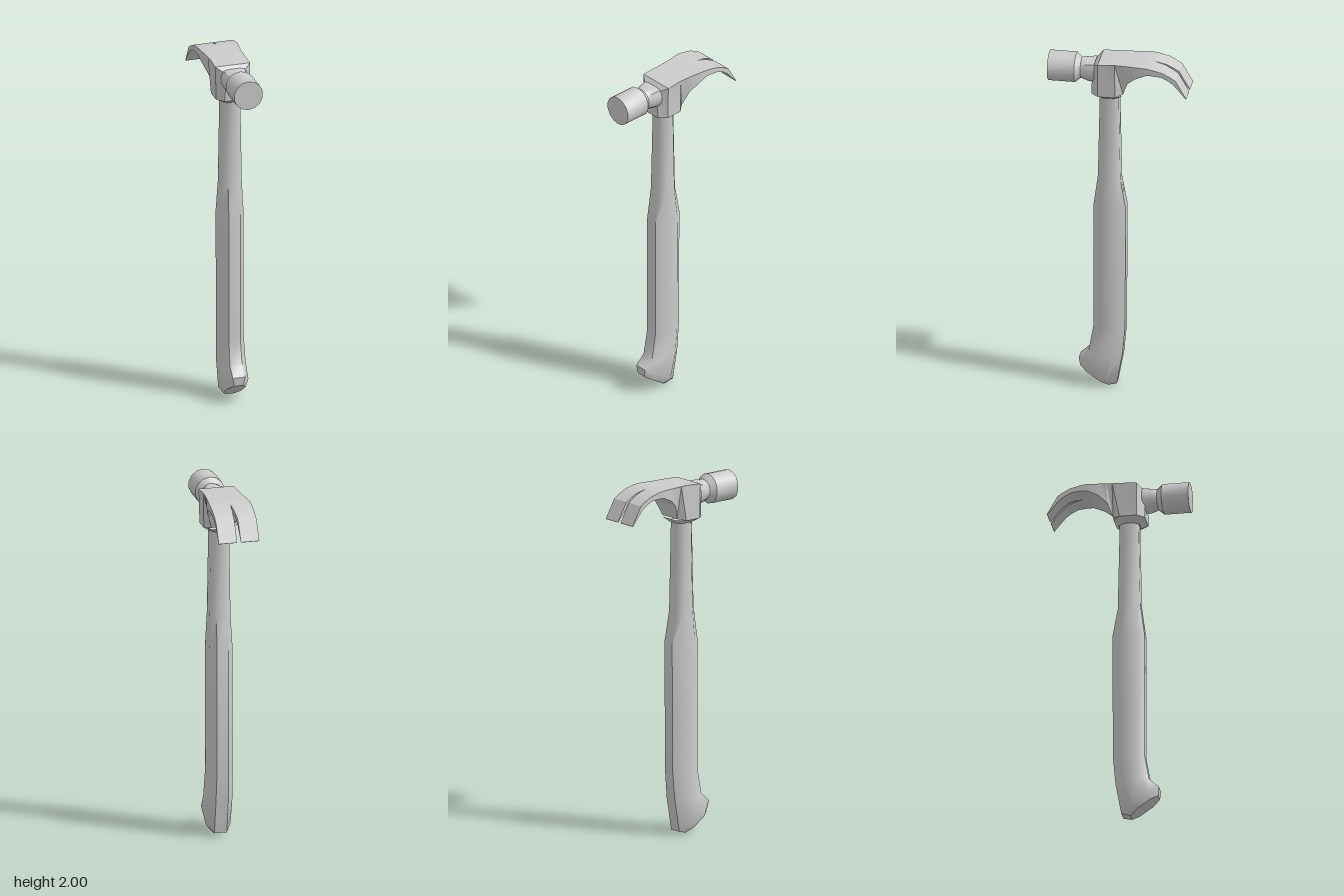
import * as THREE from 'three';
import { toCreasedNormals } from 'three/addons/utils/BufferGeometryUtils.js';

const steel = new THREE.MeshStandardMaterial({ color: 0xcccccc });

// Skin a list of closed loops; loops run counter-clockwise about the direction of travel.
function loft(loops, capStart, capEnd, crease) {
  const n = loops[0].length, index = [];
  const id = (s, i) => s * n + (i % n);
  for (let s = 0; s < loops.length - 1; s++)
    for (let i = 0; i < n; i++)
      index.push(id(s, i), id(s, i + 1), id(s + 1, i + 1), id(s, i), id(s + 1, i + 1), id(s + 1, i));
  const e = loops.length - 1;
  for (let i = 1; i < n - 1; i++) {
    if (capStart) index.push(id(0, 0), id(0, i + 1), id(0, i));
    if (capEnd) index.push(id(e, 0), id(e, i), id(e, i + 1));
  }
  const geo = new THREE.BufferGeometry();
  geo.setAttribute('position', new THREE.Float32BufferAttribute(loops.flat(2), 3));
  geo.setIndex(index);
  return toCreasedNormals(geo.toNonIndexed(), crease);
}

// Chamfered rectangle between a front point and a back point, with half width w.
function octagon([zf, yf, zb, yb, w], c = 0.5, e = 0.25) {
  const corners = [[c, 0], [1, e], [1, 1 - e], [c, 1], [-c, 1], [-1, 1 - e], [-1, e], [-c, 0]];
  return corners.map(([u, t]) => [u * w, yf + (yb - yf) * t, zf + (zb - zf) * t]);
}

// Four-cornered slice through the head, from x0 to x1.
const slice = (zt, yt, zb, yb, t0, t1, b0 = t0, b1 = t1) =>
  [[t1, yt, zt], [b1, yb, zb], [b0, yb, zb], [t0, yt, zt]];

export function createModel() {
  const group = new THREE.Group();
  const add = (name, geo) => {
    const mesh = new THREE.Mesh(geo, steel);
    mesh.name = name;
    group.add(mesh);
  };

  // Handle: front z, y, back z, y, half width, from the butt upward
  const handle = [
    [0.215, 0.115, 0.06, 0.005, 0.052],
    [0.22, 0.165, 0.01, 0.02, 0.07],
    [0.165, 0.215, -0.022, 0.2, 0.07],
    [0.14, 0.36, -0.036, 0.36, 0.066],
    [0.14, 1.09, -0.04, 1.09, 0.066],
    [0.115, 1.28, -0.01, 1.26, 0.059],
    [0.105, 1.77, 0.0, 1.77, 0.052],
  ];
  add('handle', loft(handle.map((s) => octagon(s)), true, true, 0.85));

  // Bevelled collar under the head
  const collar = [[0.11, 1.765, -0.005, 1.765, 0.055], [0.145, 1.79, -0.03, 1.79, 0.095]];
  add('collar', loft(collar.map((s) => octagon(s, 0.62)), true, false, 0.4));

  // Head body: z, top y, bottom y, top half width, bottom half width
  const body = [
    [0.145, 1.95, 1.79, 0.045, 0.06],
    [0.105, 1.985, 1.79, 0.1, 0.095],
    [0.01, 1.99, 1.79, 0.098, 0.095],
    [-0.03, 1.99, 1.8, 0.1, 0.062],
    [-0.06, 1.99, 1.88, 0.102, 0.09],
    [-0.105, 1.99, 1.92, 0.107, 0.107],
    [-0.168, 1.99, 1.949, 0.114, 0.114],
    [-0.2, 1.985, 1.95, 0.115, 0.115],
  ];
  add('headBody', loft(body.map(([z, t, b, w, v]) => slice(z, t, z, b, -w, w, -v, v)), true, false, 0.4));

  // Two claw prongs: top z, y, bottom z, y, half slit width
  const claw = [
    [-0.2, 1.985, -0.2, 1.95, 0],
    [-0.26, 1.97, -0.25, 1.945, 0.005],
    [-0.3, 1.949, -0.29, 1.926, 0.009],
    [-0.33, 1.93, -0.322, 1.902, 0.01],
    [-0.39, 1.825, -0.388, 1.823, 0.011],
  ];
  for (const side of [1, -1]) {
    const loops = claw.map(([zt, yt, zb, yb, s]) =>
      side > 0 ? slice(zt, yt, zb, yb, s, 0.115) : slice(zt, yt, zb, yb, -0.115, -s));
    add(side > 0 ? 'leftClaw' : 'rightClaw', loft(loops, false, true, 0.4));
  }

  // Round neck and striking face, turned about z; the neck is planed flat on top
  const profile = [[0.078, 0.13], [0.07, 0.175], [0.058, 0.21], [0.084, 0.24], [0.084, 0.39], [0, 0.39]];
  const poll = new THREE.LatheGeometry(profile.map(([r, z]) => new THREE.Vector2(r, z)), 14);
  poll.rotateX(Math.PI / 2);
  const p = poll.attributes.position;
  for (let i = 0; i < p.count; i++) if (p.getZ(i) < 0.2) p.setY(i, Math.min(p.getY(i), 0.055));
  poll.translate(0, 1.917, 0);
  add('strikingFace', toCreasedNormals(poll.toNonIndexed(), 0.5));

  return group;
}
